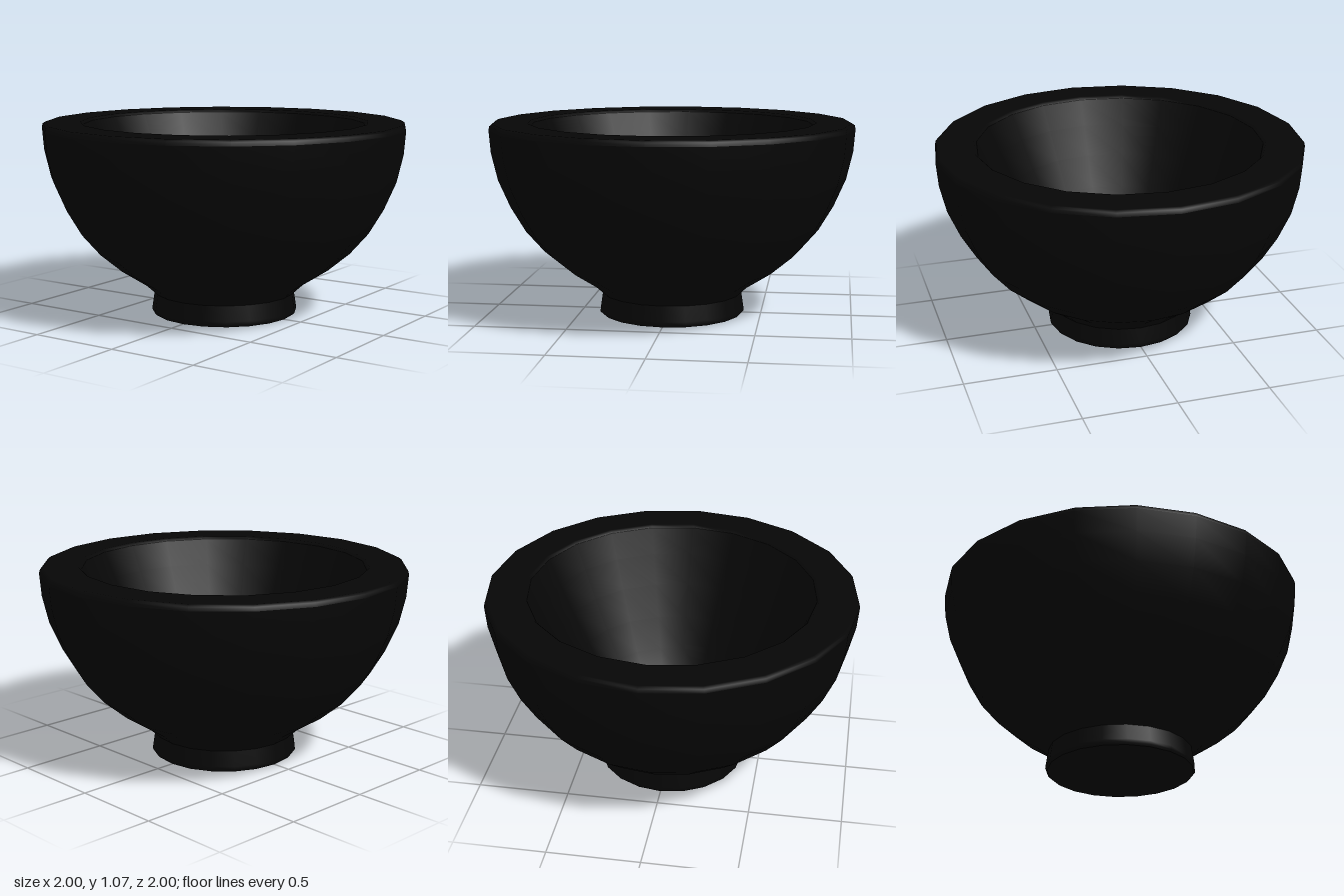
import * as THREE from 'three';

const SIDES = 20;

// Revolves a profile of [radius, height] pairs around the y axis
function turned(name, profile, material) {
  const points = profile.map(([r, y]) => new THREE.Vector2(r, y));
  const mesh = new THREE.Mesh(new THREE.LatheGeometry(points, SIDES), material);
  mesh.name = name;
  return mesh;
}

export function createModel() {
  const glaze = new THREE.MeshStandardMaterial({ color: 0x060606 });
  glaze.name = 'black glaze';
  const bowl = new THREE.Group();
  bowl.name = 'bowl';

  // Flat underside and slightly flared foot ring
  bowl.add(turned('footBase', [[0, 0], [0.395, 0]], glaze));
  bowl.add(turned('foot', [[0.395, 0], [0.405, 0.01], [0.403, 0.03], [0.39, 0.115]], glaze));

  // Rounded outer wall
  bowl.add(turned('outerWall', [
    [0.39, 0.115], [0.45, 0.17], [0.59, 0.26], [0.71, 0.36], [0.81, 0.475],
    [0.89, 0.61], [0.955, 0.76], [0.99, 0.91], [1, 1.035],
  ], glaze));

  // Thick flat rim with softened edges
  bowl.add(turned('rim', [
    [1, 1.035], [0.995, 1.055], [0.98, 1.065], [0.79, 1.065], [0.775, 1.05],
  ], glaze));

  // Steep, nearly conical hollow with a rounded floor
  bowl.add(turned('innerWall', [
    [0.775, 1.05], [0.71, 0.91], [0.63, 0.75], [0.54, 0.58], [0.45, 0.42],
    [0.37, 0.3], [0.29, 0.22], [0.18, 0.175], [0, 0.16],
  ], glaze));

  return bowl;
}
